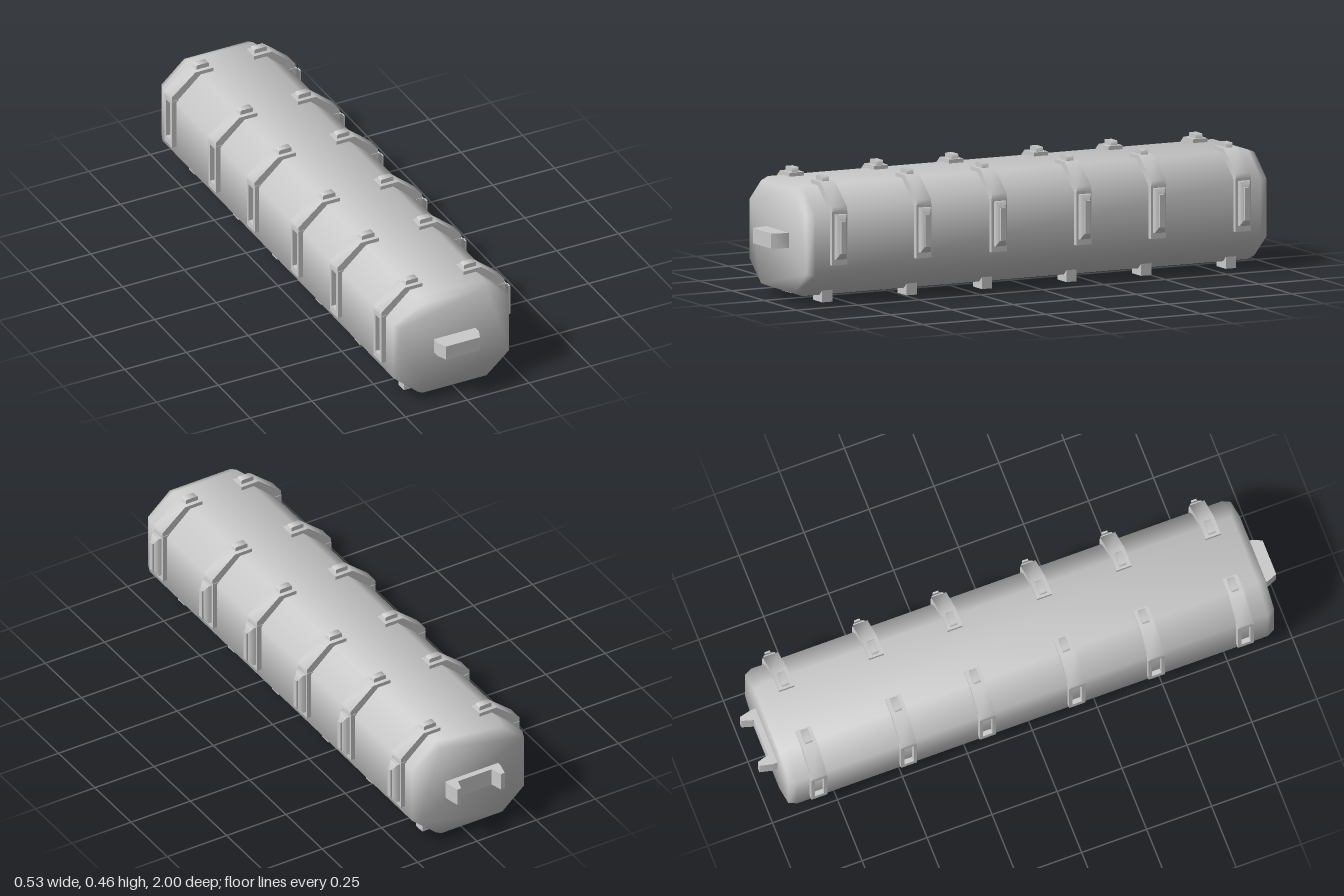
import * as THREE from 'three';
import { toCreasedNormals } from 'three/addons/utils/BufferGeometryUtils.js';
import { ConvexGeometry } from 'three/addons/geometries/ConvexGeometry.js';

const mat = new THREE.MeshStandardMaterial({ color: 0xcccccc });
const vecs = (pts) => pts.map(([x, y]) => new THREE.Vector2(x, y));
const rect = (w, h, y = 0) => [[-w / 2, y - h / 2], [w / 2, y - h / 2], [w / 2, y + h / 2], [-w / 2, y + h / 2]];

// Extrusion centred on its own depth, with an optional hole
function slab(pts, depth, hole) {
  const shape = new THREE.Shape(vecs(pts));
  if (hole) shape.holes.push(new THREE.Path(vecs(hole)));
  const g = new THREE.ExtrudeGeometry(shape, { depth, bevelEnabled: false });
  return g.translate(0, 0, -depth / 2);
}

function add(parent, name, geo, x = 0, y = 0, z = 0, crease = 0.92) {
  const m = new THREE.Mesh(toCreasedNormals(geo, crease), mat);
  m.name = name;
  m.position.set(x, y, z);
  parent.add(m);
  return m;
}

// Tapered side pad: frustum of two rectangles facing +x
function padGeometry() {
  const pts = [];
  for (const [x, w, h] of [[0.24, 0.044, 0.163], [0.2625, 0.044, 0.163], [0.2755, 0.022, 0.12]])
    for (const [z, y] of rect(w, h, 0.252)) pts.push(new THREE.Vector3(x, y, z));
  return new ConvexGeometry(pts);
}

export function createModel() {
  const root = new THREE.Group();
  root.name = 'container';
  const model = new THREE.Group();
  model.name = 'containerParts';
  model.position.x = -0.0175; // side pads make the whole lopsided
  root.add(model);

  // Octagonal body with bevelled ends
  const outline = [[-0.1335, 0.025], [0.1335, 0.025], [0.2325, 0.112], [0.2325, 0.336],
    [0.1335, 0.425], [-0.1335, 0.425], [-0.2325, 0.336], [-0.2325, 0.112]];
  const body = new THREE.ExtrudeGeometry(new THREE.Shape(vecs(outline)), {
    depth: 1.81, bevelThickness: 0.03, bevelSize: 0.012, bevelOffset: -0.012, bevelSegments: 1,
  }).translate(0, 0, -0.905);
  add(model, 'body', body, 0, 0, 0, 1.35);

  // Six rows of fittings, mirrored left and right
  for (const z of [0.815, 0.472, 0.166, -0.178, -0.481, -0.826]) {
    const row = new THREE.Group();
    row.name = 'fittingRow';
    row.position.z = z;
    model.add(row);
    for (const s of [1, -1]) {
      // Strap over the top corner
      const strap = [[0.0825, 0.4], [0.0825, 0.439], [0.155, 0.439], [0.25, 0.36],
        [0.25, 0.335], [0.215, 0.335], [0.13, 0.4]].map(([x, y]) => [x * s, y]);
      add(row, 'strap', slab(strap, 0.058));

      // Side plate, slotted on the socket side
      const hole = s < 0 ? rect(0.036, 0.155, 0.25) : undefined;
      const plate = slab(rect(0.062, 0.196, 0.246), 0.03, hole).rotateY(Math.PI / 2);
      add(row, s < 0 ? 'slottedPlate' : 'sidePlate', plate, s * 0.235);

      // Stud on the strap
      const stud = [[-0.025, 0.43], [0.025, 0.43], [0.025, 0.453], [0.022, 0.456], [-0.022, 0.456], [-0.025, 0.453]];
      add(row, 'stud', slab(stud, 0.027), s * 0.1175);

      // Foot with a socket underneath
      const foot = slab(rect(0.07, 0.042), 0.045, rect(0.052, 0.028)).rotateX(Math.PI / 2);
      add(row, 'foot', foot, s * 0.1195, 0.0225);
    }
    // Pad that fits the slot of a neighbour
    add(row, 'pad', padGeometry());
    add(row, 'padFace', new THREE.BoxGeometry(0.03, 0.119, 0.021), 0.2675, 0.2525);
  }

  // Tapered coupling block at the front
  const block = [[-0.0845, 0.92], [0.0845, 0.92], [0.0845, 0.962], [0.069, 1], [-0.069, 1], [-0.0845, 0.962]];
  add(model, 'frontCoupling', slab(block, 0.055).rotateX(Math.PI / 2), 0, 0.224);

  // U-shaped coupling bracket at the back
  const bracket = [[-0.111, -0.92], [-0.111, -0.953], [-0.1, -1], [-0.084, -1], [-0.071, -0.957],
    [0.071, -0.957], [0.084, -1], [0.1, -1], [0.111, -0.953], [0.111, -0.92]];
  add(model, 'backCoupling', slab(bracket, 0.068).rotateX(Math.PI / 2), 0, 0.225);

  // Long plate under the back
  const hatch = [[-0.017, -0.762], [0.017, -0.762], [0.0325, -0.725], [0.0325, -0.582],
    [0.017, -0.545], [-0.017, -0.545], [-0.0325, -0.582], [-0.0325, -0.725]];
  add(model, 'bottomPlate', slab(hatch, 0.02).rotateX(Math.PI / 2), 0, 0.023);

  return root;
}
